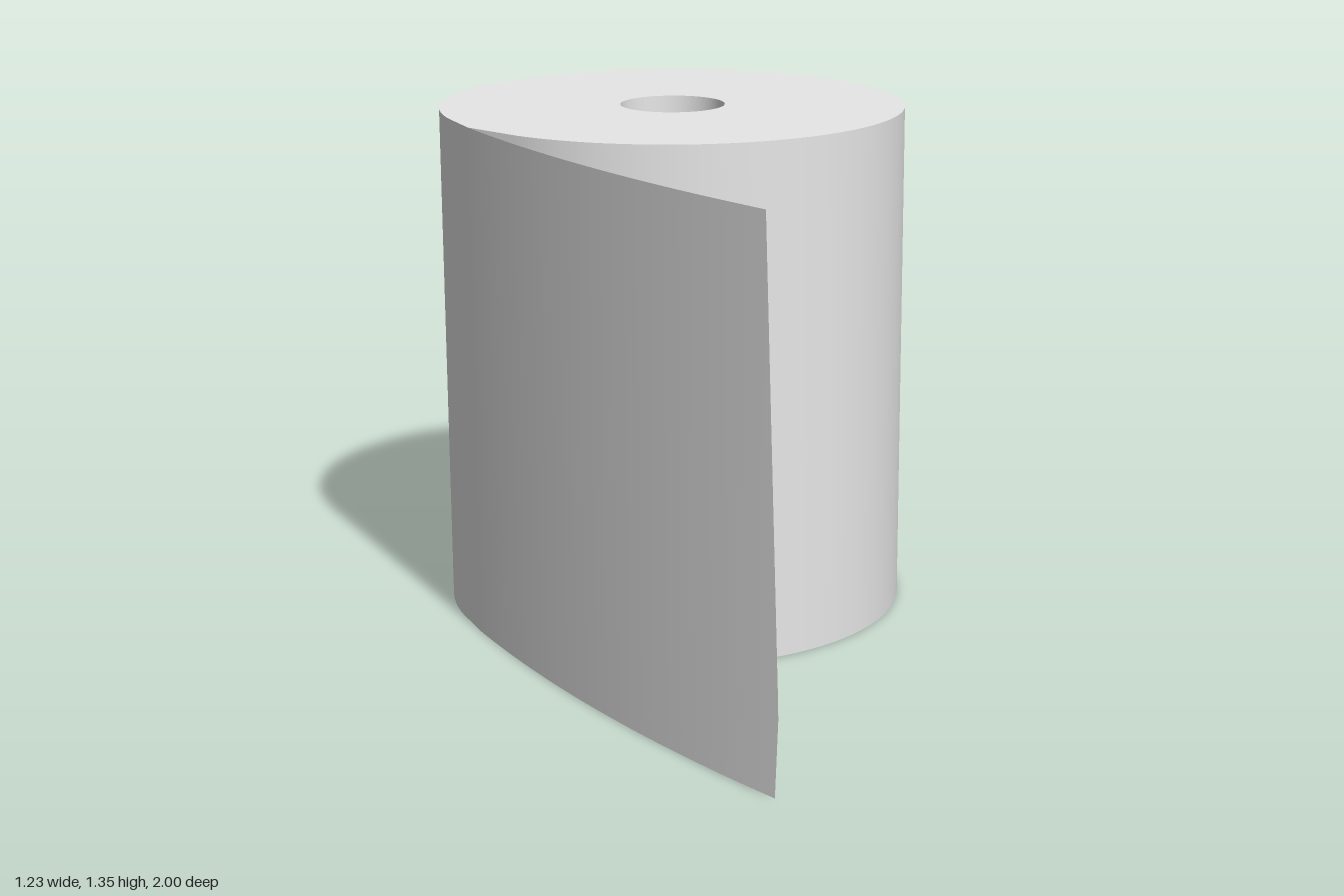
import * as THREE from 'three';
import { toCreasedNormals } from 'three/addons/utils/BufferGeometryUtils.js';

const H = 1.345, R = 0.613, HOLE = 0.138, CZ = -0.388;
const SEAM = { x: -0.617, z: -0.29 }; // where the loose sheet leaves the roll

export function createModel() {
  const group = new THREE.Group();
  const paper = new THREE.MeshStandardMaterial({ color: 0xe7e7e7, side: THREE.DoubleSide });
  paper.name = 'paper';

  // Roll: a circle with a small wedge under the seam, and a hole for the core
  const shape = new THREE.Shape();
  shape.moveTo(SEAM.x, -SEAM.z);
  const steps = 96, start = Math.PI * 1.14, end = Math.PI * 3;
  for (let i = 0; i <= steps; i++) {
    const a = start + (end - start) * i / steps;
    shape.lineTo(R * Math.cos(a), R * Math.sin(a) - CZ);
  }
  shape.closePath();
  const hole = new THREE.Path();
  hole.absarc(0, -CZ, HOLE, 0, Math.PI * 2, true);
  shape.holes.push(hole);
  const rollGeo = new THREE.ExtrudeGeometry(shape, { depth: H, bevelEnabled: false, curveSegments: 32 });
  rollGeo.rotateX(-Math.PI / 2);
  const roll = new THREE.Mesh(toCreasedNormals(rollGeo, 0.3), paper);
  roll.name = 'roll';
  group.add(roll);

  // Loose sheet: a plane bent along a gentle curve, its free edge slightly slanted
  const sheetGeo = new THREE.PlaneGeometry(1, 1, 40, 28);
  const p = sheetGeo.attributes.position;
  for (let i = 0; i < p.count; i++) {
    const t = p.getX(i) + 0.5, y = (p.getY(i) + 0.5) * H;
    const edge = y > 0.2 ? 1 - 0.043 * (y - 0.2) / (H - 0.2) : 1 - 0.01 * (1 - y / 0.2);
    const s = t * (edge - SEAM.z);
    p.setXYZ(i, SEAM.x + 0.015 * s + 0.107 * s * s, y, SEAM.z + s);
  }
  sheetGeo.computeVertexNormals();
  const sheet = new THREE.Mesh(sheetGeo, paper);
  sheet.name = 'looseSheet';
  group.add(sheet);

  return group;
}
